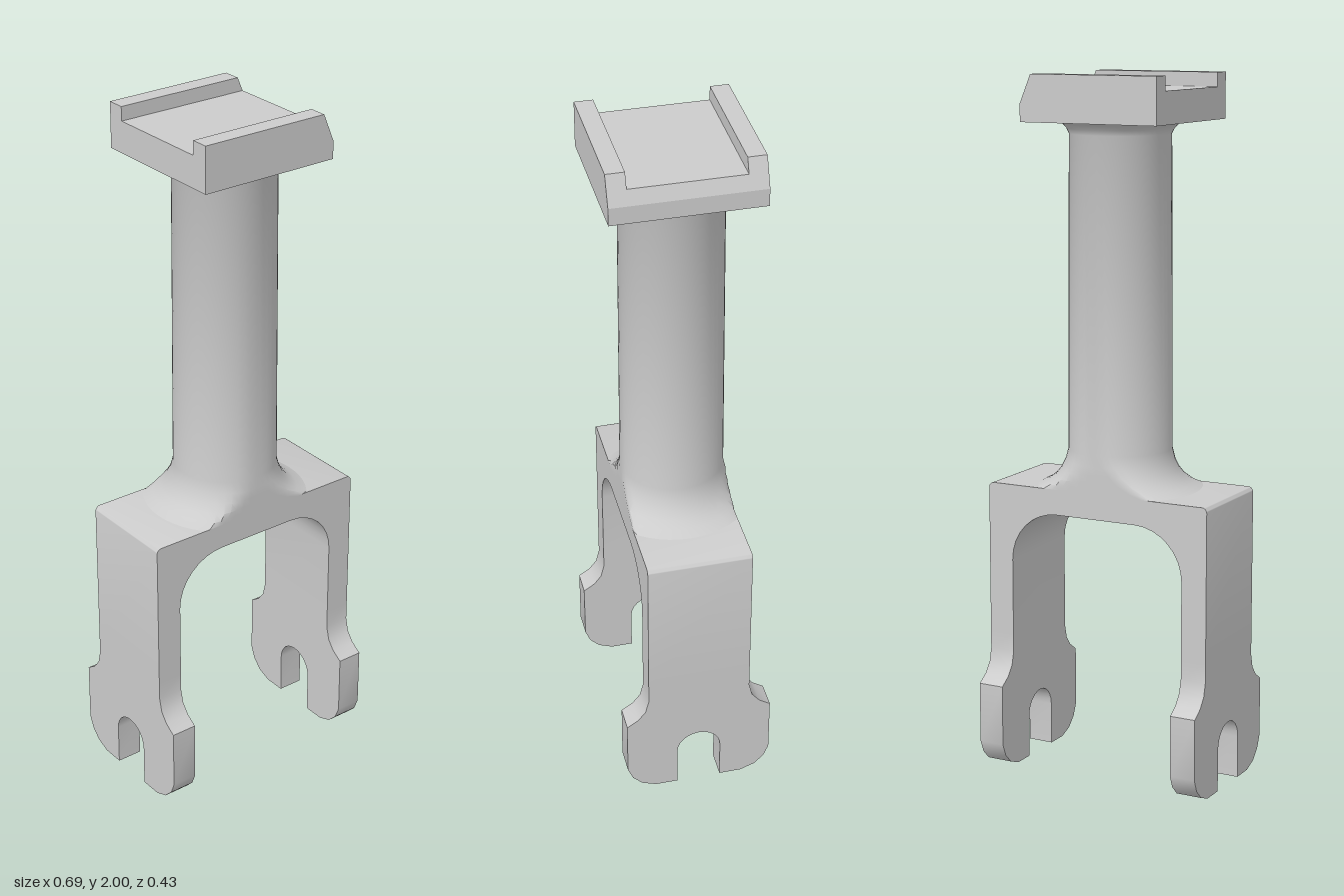
import * as THREE from 'three';
import { toCreasedNormals } from 'three/addons/utils/BufferGeometryUtils.js';

const material = new THREE.MeshStandardMaterial({ color: 0xcccccc });

function addPart(group, name, geometry, crease = 0.6) {
  const mesh = new THREE.Mesh(toCreasedNormals(geometry, crease), material);
  mesh.name = name;
  group.add(mesh);
  return mesh;
}

function extrude(shape, depth, curveSegments) {
  return new THREE.ExtrudeGeometry(shape, { depth, bevelEnabled: false, curveSegments });
}

export function createModel() {
  const group = new THREE.Group();
  group.name = 'forkedSupport';

  const W = 0.347, IN = 0.271, D = 0.15, JOIN = 0.4, TOP = 0.84;

  // Upper yoke: bridge with rounded inner corners and the tops of both legs
  const yoke = new THREE.Shape();
  yoke.moveTo(-W, JOIN);
  yoke.lineTo(-IN, JOIN);
  yoke.lineTo(-IN, 0.62);
  yoke.absarc(-IN + 0.147, 0.62, 0.147, Math.PI, Math.PI / 2, true);
  yoke.absarc(IN - 0.147, 0.62, 0.147, Math.PI / 2, 0, true);
  yoke.lineTo(IN, JOIN);
  yoke.lineTo(W, JOIN);
  yoke.absarc(W - 0.015, TOP - 0.015, 0.015, 0, Math.PI / 2, false);
  yoke.absarc(-W + 0.015, TOP - 0.015, 0.015, Math.PI / 2, Math.PI, false);
  addPart(group, 'yoke', extrude(yoke, 2 * D, 4).translate(0, 0, -D));

  // Leg ends: widened feet with a round-topped slot open at the bottom
  const side = [[0.065, 0], [0.13, 0], [0.172, 0.016], [0.2, 0.044], [0.215, 0.08],
    [0.215, 0.255], [0.182, 0.277], [0.16, 0.305], [D, 0.345], [D, JOIN]];
  const foot = new THREE.Shape();
  side.forEach(([z, y], i) => (i ? foot.lineTo(z, y) : foot.moveTo(z, y)));
  [...side].reverse().forEach(([z, y]) => foot.lineTo(-z, y));
  foot.lineTo(-0.065, 0.122);
  foot.absarc(0, 0.122, 0.065, Math.PI, 0, true);
  foot.lineTo(0.065, 0);
  for (const [name, x] of [['leftFoot', IN], ['rightFoot', -W]]) {
    addPart(group, name, extrude(foot, W - IN, 6).rotateY(Math.PI / 2).translate(x, 0, 0));
  }

  // Column: flared at both ends, the lower flare cut flush with the yoke faces
  const profile = [[0.235, TOP], [0.207, 0.853], [0.185, 0.87], [0.168, 0.892],
    [0.156, 0.918], [0.148, 0.95], [0.143, 1.835], [0.15, 1.85], [0.162, 1.862], [0.182, 1.872]];
  const column = new THREE.LatheGeometry(profile.map(([r, y]) => new THREE.Vector2(r, y)), 48);
  const pos = column.attributes.position;
  for (let i = 0; i < pos.count; i++) {
    if (pos.getY(i) < 1) pos.setZ(i, THREE.MathUtils.clamp(pos.getZ(i), -D, D));
  }
  addPart(group, 'column', column);

  // Head: channel section running along x, with one end sloped
  const headProfile = [[-0.21, 1.87], [0.21, 1.87], [0.21, 2], [0.158, 2],
    [0.158, 1.96], [-0.158, 1.96], [-0.158, 2], [-0.21, 2]];
  const slab = (h0, h1, z0, z1) => {
    const s = new THREE.Shape();
    const slope = (y) => 0.198 - Math.max(0, y - 1.92) * 0.42;
    s.moveTo(-0.22, h0);
    s.lineTo(slope(h0), h0);
    if (h0 < 1.92) s.lineTo(0.198, 1.92);
    s.lineTo(slope(h1), h1);
    s.lineTo(-0.22, h1);
    return extrude(s, z1 - z0, 1).translate(0, 0, z0);
  };
  const [outer, inner] = [headProfile[1][0], headProfile[3][0]];
  addPart(group, 'headPlate', slab(1.87, 1.96, -inner, inner), 0.3);
  addPart(group, 'frontRail', slab(1.87, 2, inner, outer), 0.3);
  addPart(group, 'backRail', slab(1.87, 2, -outer, -inner), 0.3);

  return group;
}
